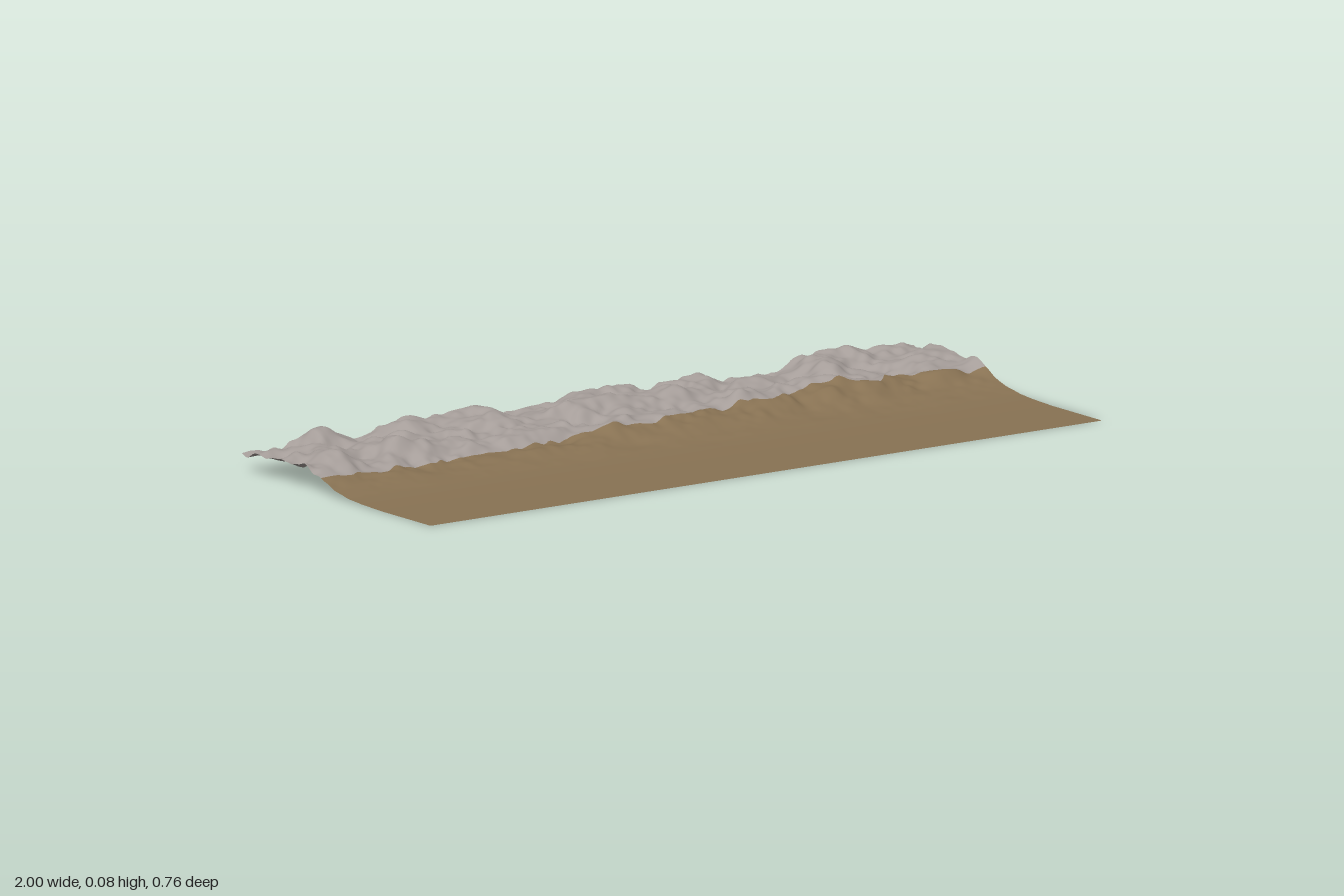
import * as THREE from 'three';

// Smooth lattice noise in the range -1..1
function hash(i, j) {
  let h = Math.imul(i + 101, 374761393) ^ Math.imul(j + 57, 668265263);
  h = Math.imul(h ^ (h >>> 13), 1274126177);
  return ((h ^ (h >>> 16)) >>> 0) / 2147483648 - 1;
}
function noise(x, z) {
  const i = Math.floor(x), j = Math.floor(z);
  const ease = (t) => t * t * (3 - 2 * t);
  const u = ease(x - i), v = ease(z - j);
  const { lerp } = THREE.MathUtils;
  return lerp(lerp(hash(i, j), hash(i + 1, j), u), lerp(hash(i, j + 1), hash(i + 1, j + 1), u), v);
}

// Linear reading of a list of [position, value] points
function sample(points, p) {
  for (let k = 1; k < points.length; k++) {
    const [a, va] = points[k - 1], [b, vb] = points[k];
    if (p <= b) return va + (vb - va) * Math.max(0, (p - a) / (b - a));
  }
  return points[points.length - 1][1];
}

// Mean height from back to front: plateau, bank, flat ground
const PROFILE = [[-0.38, 0.06], [-0.25, 0.061], [-0.17, 0.064], [-0.13, 0.055], [-0.09, 0.039],
  [-0.05, 0.029], [0, 0.018], [0.05, 0.01], [0.1, 0.006], [0.18, 0.003], [0.38, 0.002]];

// Where the rock meets the soil, by x
const EDGE = [[-1, -0.06], [-0.9, -0.07], [-0.77, -0.08], [-0.6, -0.09], [-0.5, -0.1], [-0.4, -0.09],
  [-0.25, -0.105], [-0.1, -0.1], [0, -0.09], [0.1, -0.11], [0.2, -0.12], [0.38, -0.11], [0.5, -0.15],
  [0.6, -0.13], [0.7, -0.11], [0.76, -0.16], [0.82, -0.13], [0.9, -0.11], [1, -0.09]];
const edgeZ = (x) => sample(EDGE, x) + 0.007 * noise(x * 42, 3.3);

function height(x, z) {
  const base = sample(PROFILE, z);
  const rough = THREE.MathUtils.smoothstep(base, 0.004, 0.062);
  const bumps = 0.022 * noise(x * 9, z * 11) + 0.012 * noise(x * 20 + 7, z * 22)
    + 0.006 * noise(x * 42, z * 42 + 5);
  return THREE.MathUtils.clamp(base + bumps * rough, 0, 0.086);
}

// Sheet of ground between two border lines zBack(x) and zFront(x)
function groundSheet(name, zBack, zFront, rows, material) {
  const geometry = new THREE.PlaneGeometry(2, 1, 240, rows);
  const pos = geometry.attributes.position;
  for (let i = 0; i < pos.count; i++) {
    const x = pos.getX(i);
    const z = THREE.MathUtils.lerp(zBack(x), zFront(x), 0.5 - pos.getY(i));
    pos.setXYZ(i, x, height(x, z), z);
  }
  geometry.computeVertexNormals();
  const mesh = new THREE.Mesh(geometry, material);
  mesh.name = name;
  return mesh;
}

export function createModel() {
  const rock = new THREE.MeshStandardMaterial({ color: 0xa59d99, side: THREE.DoubleSide });
  rock.name = 'grey rock';
  const soil = new THREE.MeshStandardMaterial({ color: 0x887253, side: THREE.DoubleSide });
  soil.name = 'brown soil';

  const group = new THREE.Group();
  group.name = 'rocky bank';
  group.add(
    groundSheet('rockPlateau', () => -0.38, edgeZ, 44, rock),
    groundSheet('soilSlope', edgeZ, () => 0.38, 56, soil),
  );
  return group;
}
